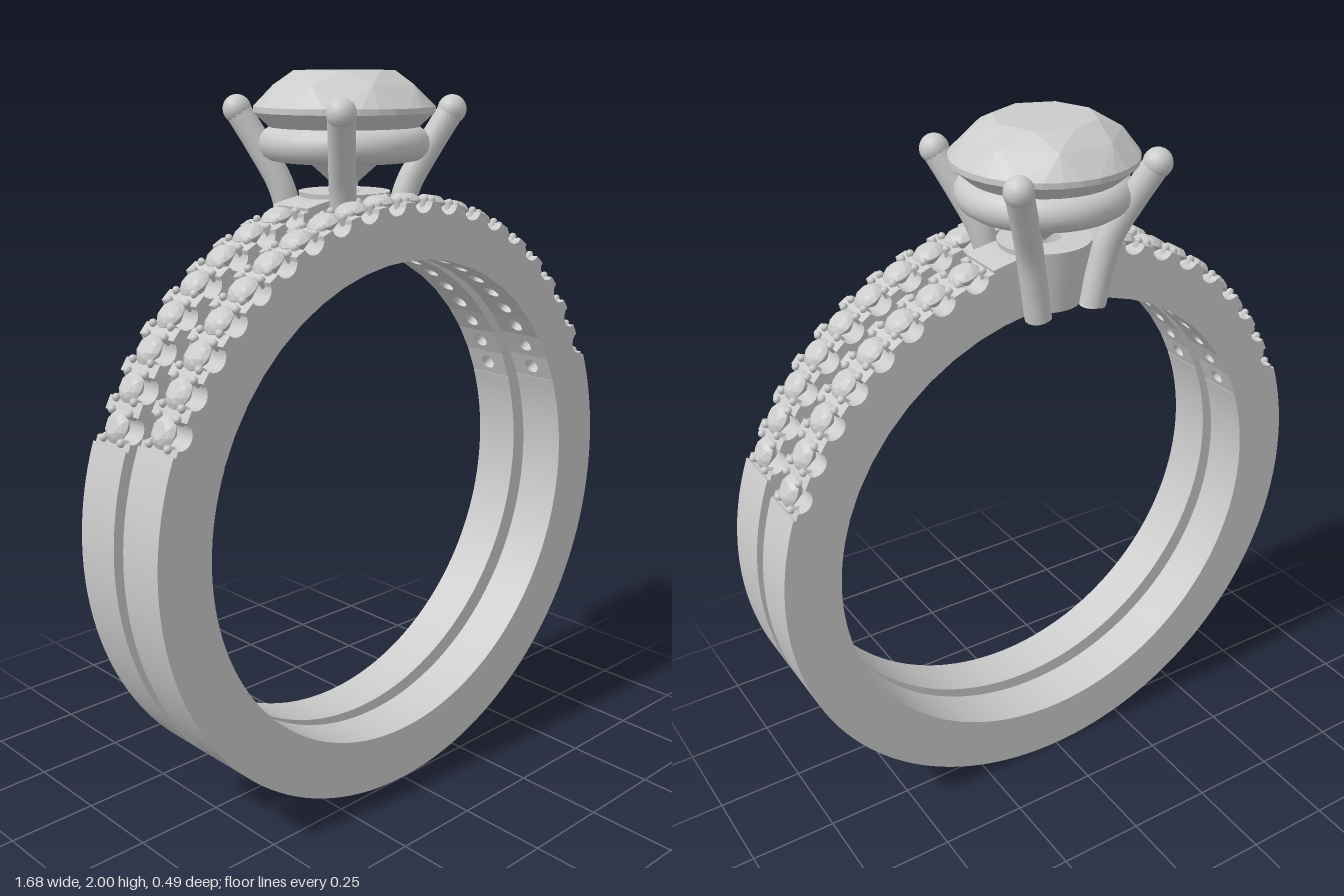
import * as THREE from 'three';
import { toCreasedNormals } from 'three/addons/utils/BufferGeometryUtils.js';
import { ConvexGeometry } from 'three/addons/geometries/ConvexGeometry.js';

const INNER = 0.68, OUTER = 0.84, WIDTH = 0.14, RIM = 0.832, SEAT = 0.79;
const RAD = Math.PI / 180;
const metal = new THREE.MeshStandardMaterial({ color: 0xcccccc });
const stoneMaterial = new THREE.MeshStandardMaterial({ color: 0xcccccc, flatShading: true });

function add(parent, name, geometry, material = metal) {
  const mesh = new THREE.Mesh(geometry, material);
  mesh.name = name;
  parent.add(mesh);
  return mesh;
}

// Point on the hoop plane; the angle is measured from the top, towards +x
const polar = (r, deg) => new THREE.Vector2(r * Math.sin(deg * RAD), r * Math.cos(deg * RAD));

// Extrude an outline across the width of a band
function acrossBand(points) {
  const g = new THREE.ExtrudeGeometry(new THREE.Shape(points), { depth: WIDTH, bevelEnabled: false });
  g.translate(0, 0, -WIDTH / 2);
  return toCreasedNormals(g, 0.4);
}

// Plain curved section between two angles
function arcSection(from, to) {
  const n = Math.max(4, Math.ceil((to - from) / 2.5));
  const outer = [], inner = [];
  for (let i = 0; i <= n; i++) {
    const a = from + ((to - from) * i) / n;
    outer.push(polar(OUTER, a));
    inner.unshift(polar(INNER, a));
  }
  return acrossBand([...outer, ...inner]);
}

// Outer layer of a jewelled section, scalloped at every stone
function scallopedRim(angles, pitch) {
  const outer = [], inner = [];
  for (const a of angles) {
    outer.push(polar(RIM, a - pitch / 2));
    for (let k = 0; k <= 8; k++) {
      const t = (Math.PI * k) / 8;
      outer.push(polar(RIM - 0.03 * Math.sin(t), a - 2.3 * Math.cos(t)));
    }
    inner.unshift(polar(SEAT, a - pitch / 2));
  }
  const end = angles[angles.length - 1] + pitch / 2;
  outer.push(polar(RIM, end));
  inner.unshift(polar(SEAT, end));
  return acrossBand([...outer, ...inner]);
}

// Inner layer under one stone: a wedge block with a round light hole
function holedCell(pitch) {
  const u = INNER * Math.tan((pitch / 2) * RAD), w = WIDTH / 2;
  const shape = new THREE.Shape([[-u, -w], [u, -w], [u, w], [-u, w]].map(p => new THREE.Vector2(...p)));
  shape.holes.push(new THREE.Path().absarc(0, 0, 0.023, 0, Math.PI * 2, true));
  const g = new THREE.ExtrudeGeometry(shape, { depth: SEAT - INNER + 0.002, bevelEnabled: false, curveSegments: 8 });
  const p = g.attributes.position;
  for (let i = 0; i < p.count; i++) {
    const r = INNER + p.getZ(i);
    p.setXYZ(i, (p.getX(i) * r) / INNER, r, -p.getY(i));
  }
  return toCreasedNormals(g, 0.8);
}

// Round brilliant with its table at y = 0
function brilliant() {
  const pts = [new THREE.Vector3(0, -0.325, 0)];
  const ring = (n, r, y, turn = 0) => {
    for (let i = 0; i < n; i++) {
      const a = ((i + turn) / n) * Math.PI * 2;
      pts.push(new THREE.Vector3(r * Math.cos(a), y, r * Math.sin(a)));
    }
  };
  ring(8, 0.135, 0);
  ring(8, 0.2, -0.036, 0.5);
  ring(32, 0.244, -0.092);
  ring(32, 0.244, -0.107);
  ring(8, 0.06, -0.255, 0.5);
  return new ConvexGeometry(pts);
}

// Jewelled run: rim, holed cells, stones and holding beads
function jewelledSection(band, angles, pitch, gem) {
  add(band, 'scallopedRim', scallopedRim(angles, pitch));
  const cell = holedCell(pitch);
  const bead = new THREE.CapsuleGeometry(0.011, 0.03, 3, 8);
  for (const a of angles) {
    const seat = new THREE.Group();
    seat.name = 'stoneSetting';
    seat.rotation.z = -a * RAD;
    band.add(seat);
    add(seat, 'stoneSeat', cell);
    const stone = add(seat, 'smallStone', gem, stoneMaterial);
    stone.scale.setScalar(0.175);
    stone.position.y = 0.849;
    for (const sx of [-1, 1]) for (const sz of [-1, 1])
      add(seat, 'bead', bead).position.set(sx * 0.036, 0.82, sz * 0.037);
  }
}

const sequence = (first, pitch, count) => Array.from({ length: count }, (_, i) => first + pitch * i);

// Head: centre stone, gallery rail, base cup and four prongs
function createHead(gem) {
  const head = new THREE.Group();
  head.name = 'head';
  add(head, 'centreStone', gem, stoneMaterial).position.y = 2;

  const rail = add(head, 'galleryRail', new THREE.TorusGeometry(0.185, 0.046, 16, 64));
  rail.rotation.x = Math.PI / 2;
  rail.position.y = 1.812;

  const cup = [[0.045, 1.685], [0.045, 1.513], [0.1, 1.513], [0.108, 1.58], [0.125, 1.685], [0.045, 1.685]];
  add(head, 'baseCup', toCreasedNormals(
    new THREE.LatheGeometry(cup.map(p => new THREE.Vector2(...p)).reverse(), 40), 0.6)).material =
    new THREE.MeshStandardMaterial({ color: 0xcccccc, side: THREE.DoubleSide });

  for (const sx of [-1, 1]) for (const sz of [-1, 1]) {
    const prong = new THREE.Group();
    prong.name = 'prong';
    head.add(prong);
    const path = new THREE.CatmullRomCurve3(
      [[0.085, 1.515, 0.102], [0.1, 1.6, 0.108], [0.122, 1.7, 0.122], [0.16, 1.8, 0.16], [0.203, 1.9, 0.203]]
        .map(([x, y, z]) => new THREE.Vector3(sx * x, y, sz * z)));
    add(prong, 'prongStem', new THREE.TubeGeometry(path, 28, 0.036, 14));
    const ball = new THREE.SphereGeometry(0.036, 16, 12);
    const tip = add(prong, 'prongTip', ball);
    tip.position.copy(path.getPoint(1));
    tip.scale.setScalar(1.08);
    const foot = add(prong, 'prongFoot', ball);
    foot.position.copy(path.getPoint(0));
    foot.scale.y = 0.15;
  }
  return head;
}

export function createModel() {
  const model = new THREE.Group();
  model.name = 'ringSet';
  const gem = brilliant();

  // Front band: one continuous run of twenty stones
  const front = new THREE.Group();
  front.name = 'frontBand';
  front.position.set(0, OUTER, 0.18);
  const p1 = 6.85;
  add(front, 'hoop', arcSection(p1 * 10, 360 - p1 * 10));
  jewelledSection(front, sequence(-p1 * 9.5, p1, 20), p1, gem);

  // Rear band: eight stones on each shoulder, open at the top for the cup
  const rear = new THREE.Group();
  rear.name = 'rearBand';
  rear.position.set(0, OUTER, 0);
  const p2 = 7.1, first = 17, inside = first - p2 / 2, outside = first + p2 * 7.5;
  add(rear, 'hoop', arcSection(outside, 360 - outside));
  for (const s of [-1, 1]) {
    add(rear, 'shoulder', s > 0 ? arcSection(4, inside) : arcSection(-inside, -4));
    jewelledSection(rear, sequence(s > 0 ? first : -first - 7 * p2, p2, 8), p2, gem);
  }

  model.add(front, rear, createHead(gem));
  return model;
}
